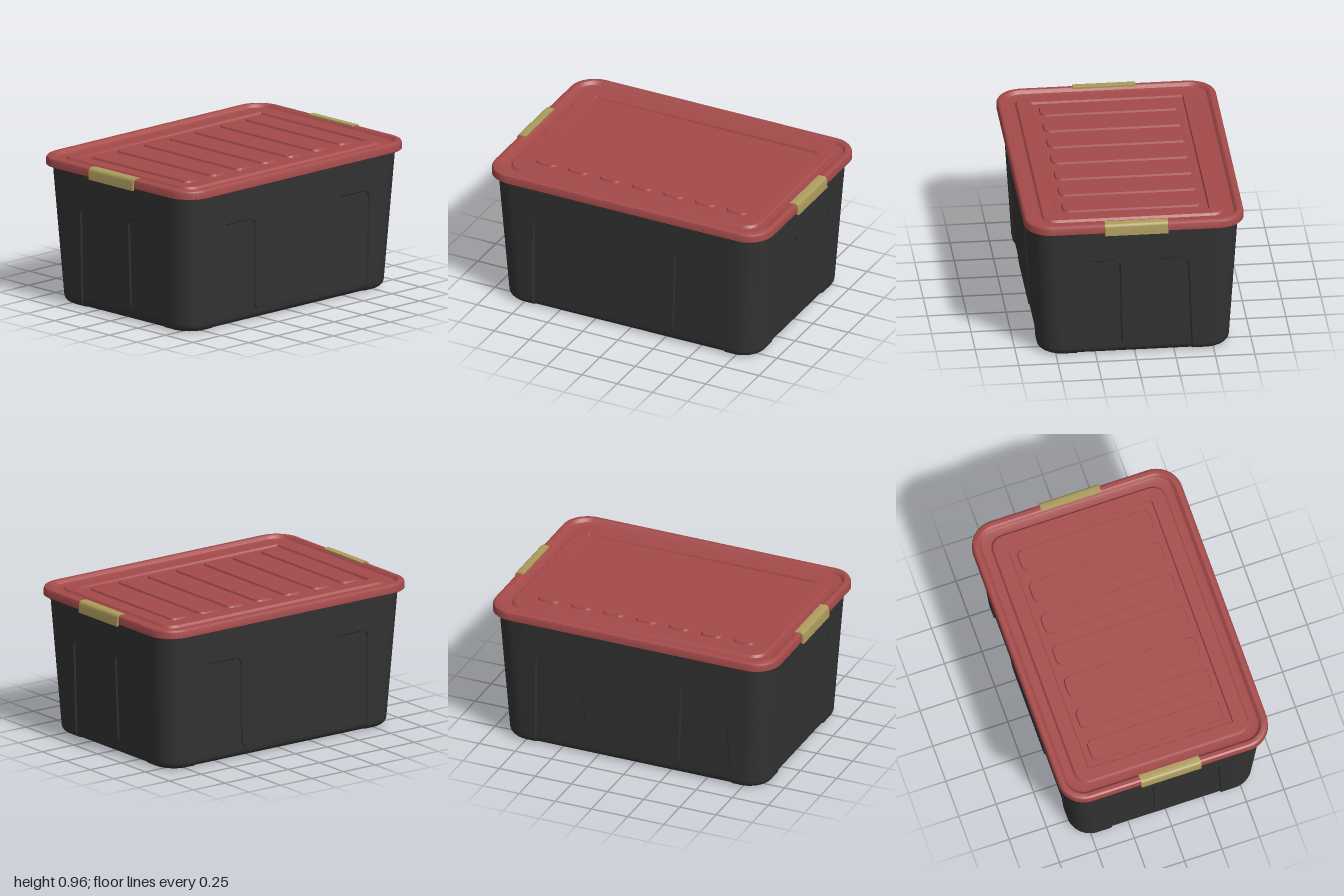
import * as THREE from 'three';
import { toCreasedNormals } from 'three/addons/utils/BufferGeometryUtils.js';

// Joins closed rings of equal length (listed bottom/outside first) into a skin.
function loft(rings, crease = 0.45) {
  const n = rings[0].length, pos = [], idx = [];
  rings.forEach(r => r.forEach(p => pos.push(...p)));
  for (let i = 0; i < rings.length - 1; i++) {
    for (let j = 0; j < n; j++) {
      const k = (j + 1) % n;
      const a = i * n + j, b = i * n + k, c = (i + 1) * n + k, d = (i + 1) * n + j;
      idx.push(a, b, c, a, c, d);
    }
  }
  const g = new THREE.BufferGeometry();
  g.setAttribute('position', new THREE.Float32BufferAttribute(pos, 3));
  g.setIndex(idx);
  return toCreasedNormals(g, crease);
}

// Rounded rectangle ring; flat(side) may add [along, depth] points to each straight side.
function ring(hx, hz, r, y, flat = () => [], seg = 10) {
  const pts = [];
  for (let s = 0; s < 4; s++) {
    const [hu, hw] = s % 2 ? [hz, hx] : [hx, hz];
    const c = [1, 0, -1, 0][s], sn = [0, 1, 0, -1][s];
    const add = (u, w) => pts.push([u * c + w * sn, y, w * c - u * sn]);
    flat(s).forEach(([u, d]) => add(u, hw - d));
    for (let i = 0; i <= seg; i++) {
      const a = (i / seg) * Math.PI / 2;
      add(hu - r + r * Math.sin(a), hw - r + r * Math.cos(a));
    }
  }
  return pts;
}

// Inset of a quarter-round fillet at distance t from its flat end.
const fillet = (t, r) => (t >= r ? 0 : r - Math.sqrt(r * r - (r - t) ** 2));

// Pressed two-legged panel on each wall: outer and inner leg edges, low and high.
const LEGS = [
  { out: [0.67, 0.648], inn: [0.318, 0.355] },
  { out: [0.36, 0.332], inn: [0.086, 0.102] },
];
const LEG_TOP = 0.672, STRIP_TOP = 0.07, DEPTH = 0.01, BEVEL = 0.008;

function panelPoints(side, y) {
  const { out, inn } = LEGS[side % 2];
  const t = Math.min(y, LEG_TOP) / LEG_TOP;
  const top = fillet(Math.max(LEG_TOP - y, 0), 0.04);
  const low = y > STRIP_TOP ? fillet(y - STRIP_TOP, 0.035) : 0.035;
  const o = out[0] + (out[1] - out[0]) * t - top;
  const i = inn[0] + (inn[1] - inn[0]) * t + top - low;
  const leg = y <= LEG_TOP ? DEPTH : 0;
  const mid = y <= STRIP_TOP - 0.004 ? DEPTH : 0;
  const half = [[i - BEVEL, mid], [i, leg], [o, leg], [o + BEVEL, 0]];
  return [...half.map(([u, d]) => [-u, d]).reverse(), ...half];
}

function bodyGeometry() {
  const level = (y, inset = 0) => ring(
    0.897 + 0.06 * y - inset, 0.608 + 0.06 * y - inset, 0.15 - inset * 0.6, y,
    s => panelPoints(s, y));
  const rings = [];
  // Recessed base inside a low foot rim
  const centre = y => ring(0, 0, 0, y, () => Array(8).fill([0, 0]));
  rings.push(centre(0.008), level(0.008, 0.085), level(0, 0.075));
  // Rounded lower edge
  for (let i = 0; i <= 6; i++) {
    const a = (i / 6) * Math.PI / 2;
    rings.push(level(0.045 * (1 - Math.cos(a)), 0.045 * (1 - Math.sin(a))));
  }
  // Tapered walls
  [0.066, 0.071, 0.073, 0.077, 0.084, 0.094, 0.105, 0.3, 0.5, 0.632, 0.645,
    0.656, 0.664, 0.669, 0.672, 0.68, 0.8, 0.92].forEach(y => rings.push(level(y)));
  rings.push(centre(0.92));
  return loft(rings);
}

function lidGeometry() {
  // Half width, half depth, corner radius, height
  const steps = [
    [0.93, 0.64, 0.13, 0.897],
    [0.980, 0.690, 0.165, 0.895],
    [0.988, 0.697, 0.17, 0.900],
    [0.987, 0.696, 0.17, 0.940],
    [0.982, 0.691, 0.165, 0.950],
    [0.970, 0.679, 0.155, 0.956],
    [0.948, 0.657, 0.13, 0.956],
    [0.940, 0.648, 0.12, 0.950],
    [0.930, 0.637, 0.11, 0.936],
    [0.920, 0.625, 0.11, 0.933],
    [0.878, 0.583, 0.09, 0.933],
    [0.866, 0.571, 0.08, 0.947],
    [0.790, 0.485, 0.008, 0.947],
    [0.784, 0.479, 0.004, 0.934],
    [0, 0, 0, 0.934],
  ];
  return loft(steps.map(([x, z, r, y]) => ring(x, z, r, y)));
}

// Low raised rib with bevelled sides
function ribGeometry() {
  return loft([
    ring(0.074, 0.442, 0.042, 0.932),
    ring(0.068, 0.436, 0.038, 0.946),
    ring(0, 0, 0, 0.946),
  ]);
}

// Clip that hooks over the lid edge
function clipGeometry() {
  const s = new THREE.Shape();
  s.moveTo(0.938, 0.95);
  s.lineTo(0.975, 0.95);
  s.lineTo(0.982, 0.94);
  s.lineTo(0.982, 0.905);
  s.lineTo(0.988, 0.885);
  s.lineTo(1.0, 0.885);
  s.lineTo(0.997, 0.94);
  s.quadraticCurveTo(0.994, 0.963, 0.972, 0.963);
  s.lineTo(0.938, 0.961);
  s.closePath();
  const g = new THREE.ExtrudeGeometry(s, { depth: 0.4, bevelEnabled: false, curveSegments: 6 });
  g.translate(0, 0, -0.2);
  return toCreasedNormals(g, 0.5);
}

export function createModel() {
  const mat = (name, color) => {
    const m = new THREE.MeshStandardMaterial({ color });
    m.name = name;
    return m;
  };
  const charcoal = mat('charcoal plastic', 0x333333);
  const red = mat('red plastic', 0xa54a4a);
  const tan = mat('tan plastic', 0xad9c5c);

  const model = new THREE.Group();
  model.name = 'storageBox';
  const add = (name, geometry, material, parent = model) => {
    const mesh = new THREE.Mesh(geometry, material);
    mesh.name = name;
    parent.add(mesh);
    return mesh;
  };

  add('body', bodyGeometry(), charcoal);

  const lid = new THREE.Group();
  lid.name = 'lid';
  model.add(lid);
  add('lidPanel', lidGeometry(), red, lid);
  const rib = ribGeometry();
  for (let i = -3; i <= 3; i++) {
    add('lidRib', rib, red, lid).position.x = i * 0.225 - 0.005;
  }

  const clip = clipGeometry();
  add('leftClip', clip, tan);
  add('rightClip', clip, tan).rotation.y = Math.PI;
  return model;
}
